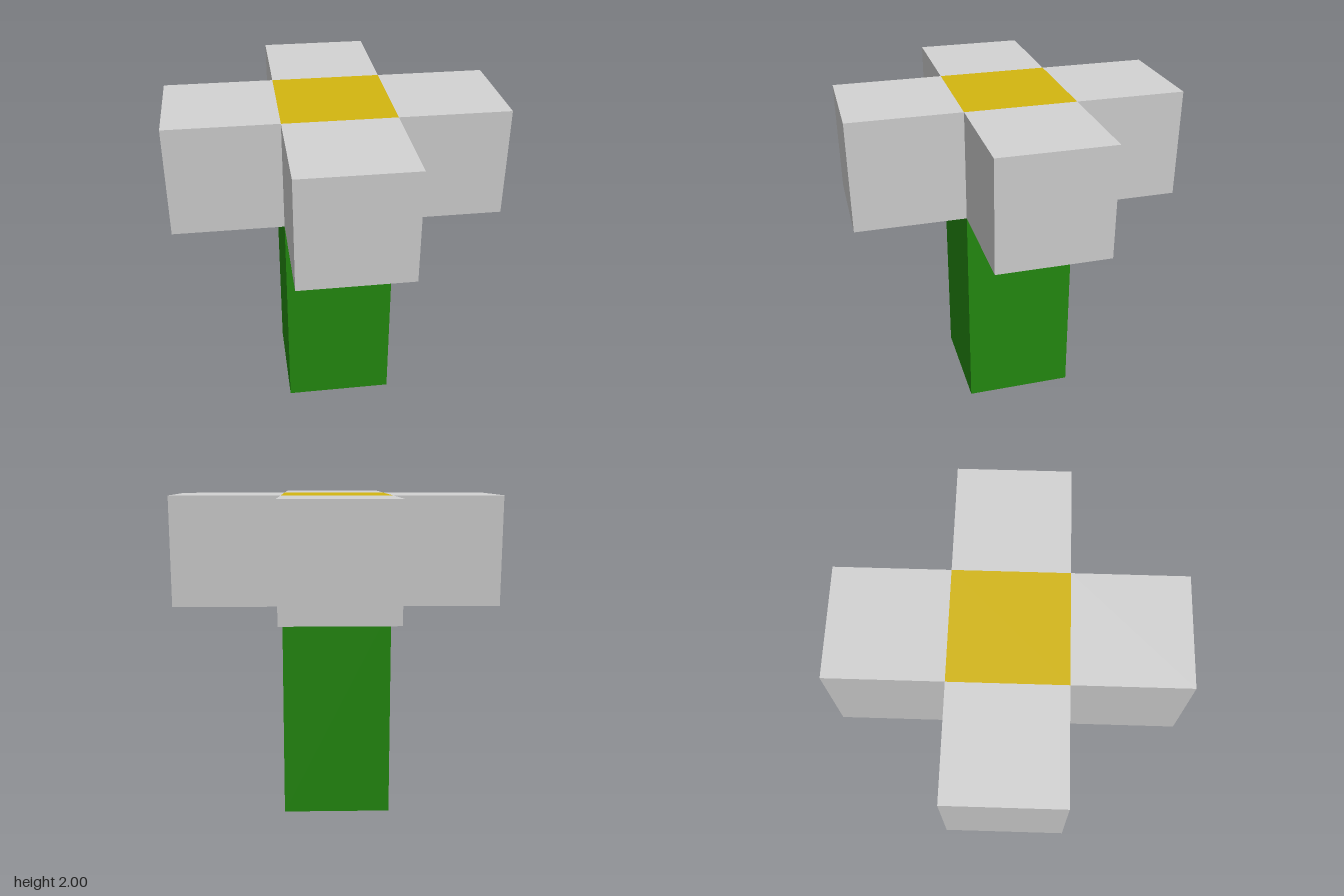
import * as THREE from 'three';

const U = 2 / 3; // edge of one cube

export function createModel() {
  const stemGreen = new THREE.MeshStandardMaterial({ color: 0x248c10 });
  const petalGrey = new THREE.MeshStandardMaterial({ color: 0xd3d3d3 });
  const centreYellow = new THREE.MeshStandardMaterial({ color: 0xd3b610 });
  stemGreen.name = 'stemGreen';
  petalGrey.name = 'petalGrey';
  centreYellow.name = 'centreYellow';

  const model = new THREE.Group();
  model.name = 'blockFlower';

  const addBox = (name, height, material, x, y, z) => {
    const mesh = new THREE.Mesh(new THREE.BoxGeometry(U, height, U), material);
    mesh.name = name;
    mesh.position.set(x, y, z);
    model.add(mesh);
  };

  // Stem two cubes tall, with the flower's centre cube on top
  addBox('stem', 2 * U, stemGreen, 0, U, 0);
  addBox('flowerCentre', U, centreYellow, 0, 2.5 * U, 0);

  // Four petals around the centre
  const petals = { leftPetal: [1, 0], rightPetal: [-1, 0], frontPetal: [0, 1], backPetal: [0, -1] };
  for (const [name, [x, z]] of Object.entries(petals)) {
    addBox(name, U, petalGrey, x * U, 2.5 * U, z * U);
  }

  return model;
}
